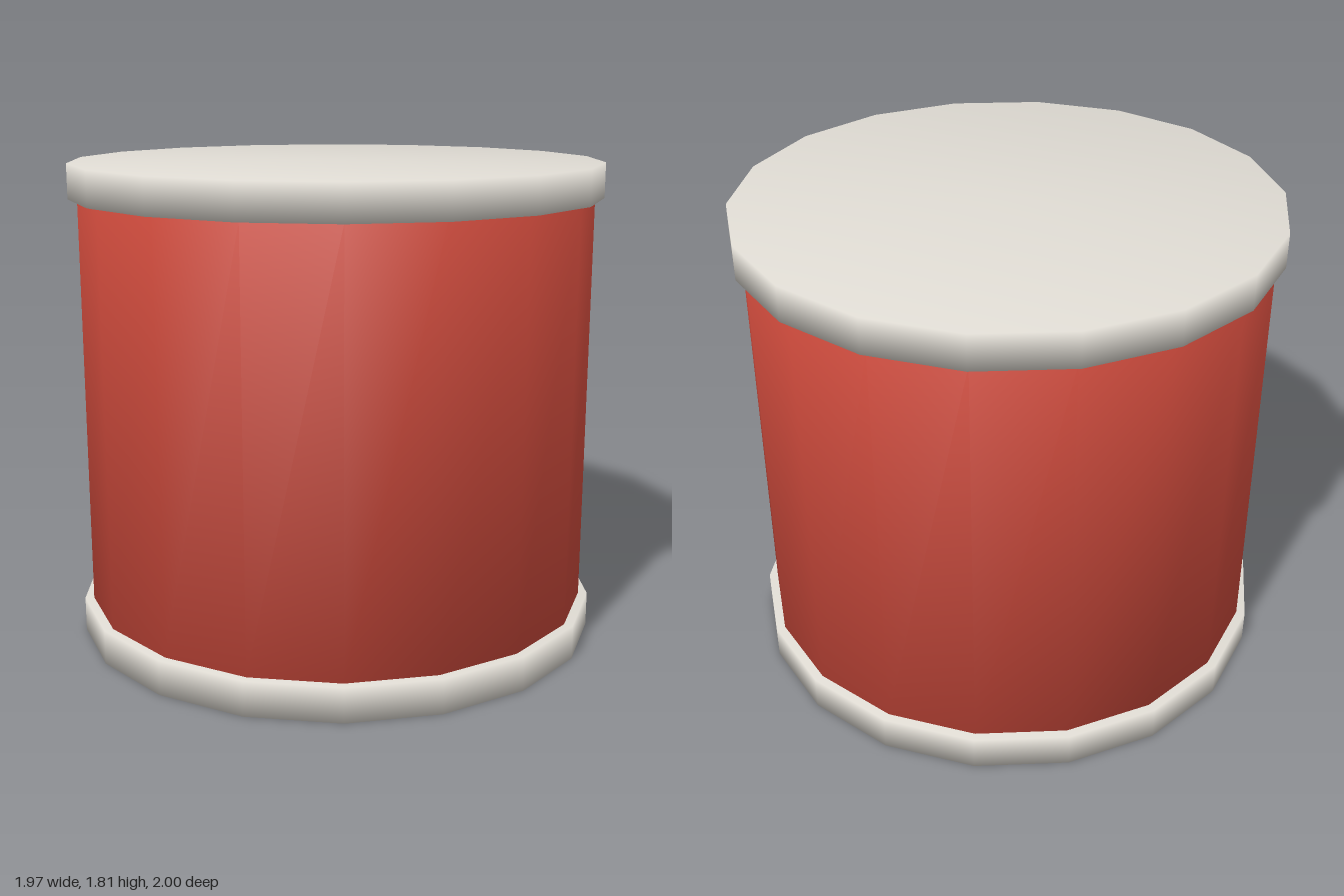
import * as THREE from 'three';
import { mergeVertices } from 'three/addons/utils/BufferGeometryUtils.js';

const SIDES = 18;
const HEIGHT = 1.81;
const RIM = 0.13;

// Closed low-poly cylinder whose normals are smoothed across the cap edges
function softCylinder(radius, y0, y1) {
  let geo = new THREE.CylinderGeometry(radius, radius, y1 - y0, SIDES);
  geo.deleteAttribute('normal');
  geo.deleteAttribute('uv');
  geo = mergeVertices(geo);
  geo.computeVertexNormals();
  geo.translate(0, (y0 + y1) / 2, 0);
  return geo;
}

export function createModel() {
  const group = new THREE.Group();
  group.name = 'canister';

  const red = new THREE.MeshStandardMaterial({ color: 0xc8483a });
  red.name = 'red';
  const offWhite = new THREE.MeshStandardMaterial({ color: 0xe0dcd4 });
  offWhite.name = 'offWhite';

  const add = (name, geometry, material) => {
    const mesh = new THREE.Mesh(geometry, material);
    mesh.name = name;
    group.add(mesh);
  };

  // Red drum between two wider end discs
  add('body', softCylinder(0.966, RIM, HEIGHT - RIM), red);
  add('bottomRim', softCylinder(1, 0, RIM), offWhite);
  add('topRim', softCylinder(1, HEIGHT - RIM, HEIGHT), offWhite);

  return group;
}
